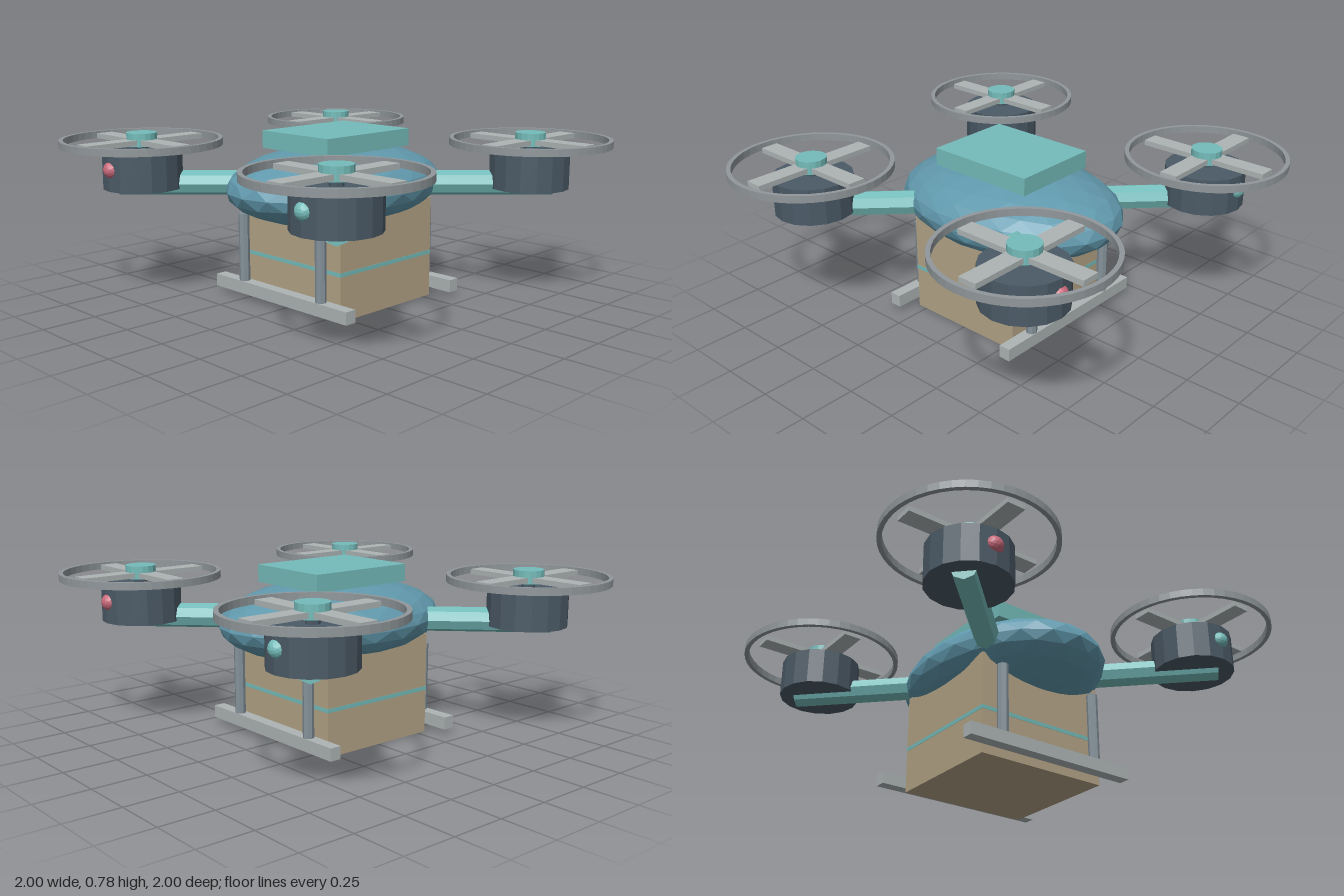
import * as THREE from 'three';

export function createModel() {
  const root = new THREE.Group();
  root.name = 'deliveryDrone';

  const paint = (name, color) => {
    const m = new THREE.MeshStandardMaterial({ color, flatShading: true });
    m.name = name;
    return m;
  };
  const blue = paint('body blue', 0x6199ad);
  const teal = paint('trim teal', 0x74bcba);
  const dark = paint('motor slate', 0x4b5a66);
  const pale = paint('blade grey', 0xadb4b4);
  const steel = paint('guard grey', 0x90979a);
  const strut = paint('strut grey', 0x84919a);
  const tan = paint('parcel tan', 0xb3a386);
  const pink = paint('signal pink', 0xc8697a);

  const add = (parent, name, geometry, material, x = 0, y = 0, z = 0) => {
    const mesh = new THREE.Mesh(geometry, material);
    mesh.name = name;
    mesh.position.set(x, y, z);
    parent.add(mesh);
    return mesh;
  };
  const box = (w, h, d) => new THREE.BoxGeometry(w, h, d);
  const cyl = (r, h, n) => new THREE.CylinderGeometry(r, r, h, n);

  // Faceted ellipsoid hull, with a vertex at each pole
  const hull = new THREE.IcosahedronGeometry(1, 3);
  hull.rotateZ(Math.atan(2 / (1 + Math.sqrt(5))));
  hull.scale(0.567, 0.181, 0.41);
  add(root, 'body', hull, blue, 0, 0.535, 0);
  add(root, 'topPlate', box(0.525, 0.08, 0.42), teal, 0, 0.742, 0);

  // Parcel with a thin band of tape
  add(root, 'parcel', box(0.594, 0.47, 0.644), tan, 0, 0.235, 0);
  add(root, 'parcelTape', box(0.597, 0.018, 0.647), teal, 0, 0.21, 0);

  // Landing gear
  for (const side of [-1, 1]) {
    add(root, 'skid', box(0.055, 0.058, 0.86), pale, side * 0.345, 0.058, 0);
    for (const end of [-1, 1]) {
      add(root, 'skidStrut', cyl(0.025, 0.33, 8), strut, side * 0.347, 0.24, end * 0.252);
    }
  }

  // Rotor guard: a thin band of rectangular section
  const guard = new THREE.LatheGeometry(
    [[0.37, 0.71], [0.37, 0.743], [0.35, 0.743], [0.35, 0.71], [0.37, 0.71]]
      .map(([r, y]) => new THREE.Vector2(r, y)), 48);

  // Four arms, each with motor, rotor, guard and signal light
  for (const sx of [-1, 1]) {
    for (const sz of [-1, 1]) {
      const arm = add(root, 'arm', cyl(0.057, 0.7, 8), teal, sx * 0.46, 0.535, sz * 0.46);
      arm.rotation.set(Math.PI / 2, 0, 0);
      arm.rotation.order = 'YXZ';
      arm.rotation.y = Math.atan2(sx, sz);

      const rotor = new THREE.Group();
      rotor.name = 'rotor';
      rotor.position.set(sx * 0.63, 0, sz * 0.63);
      root.add(rotor);
      add(rotor, 'motor', cyl(0.184, 0.17, 16), dark, 0, 0.6, 0);
      add(rotor, 'motorShaft', cyl(0.03, 0.06, 8), dark, 0, 0.7, 0);
      add(rotor, 'bladeAlongX', box(0.62, 0.024, 0.083), pale, 0, 0.727, 0);
      add(rotor, 'bladeAlongZ', box(0.083, 0.0236, 0.62), pale, 0, 0.727, 0);
      add(rotor, 'hub', cyl(0.07, 0.06, 16), teal, 0, 0.739, 0);
      add(rotor, 'guardRing', guard, steel);
      add(rotor, 'signalLight', new THREE.IcosahedronGeometry(0.04, 2),
        sx * sz > 0 ? pink : teal, sx * 0.165, 0.613, 0);
    }
  }
  return root;
}
